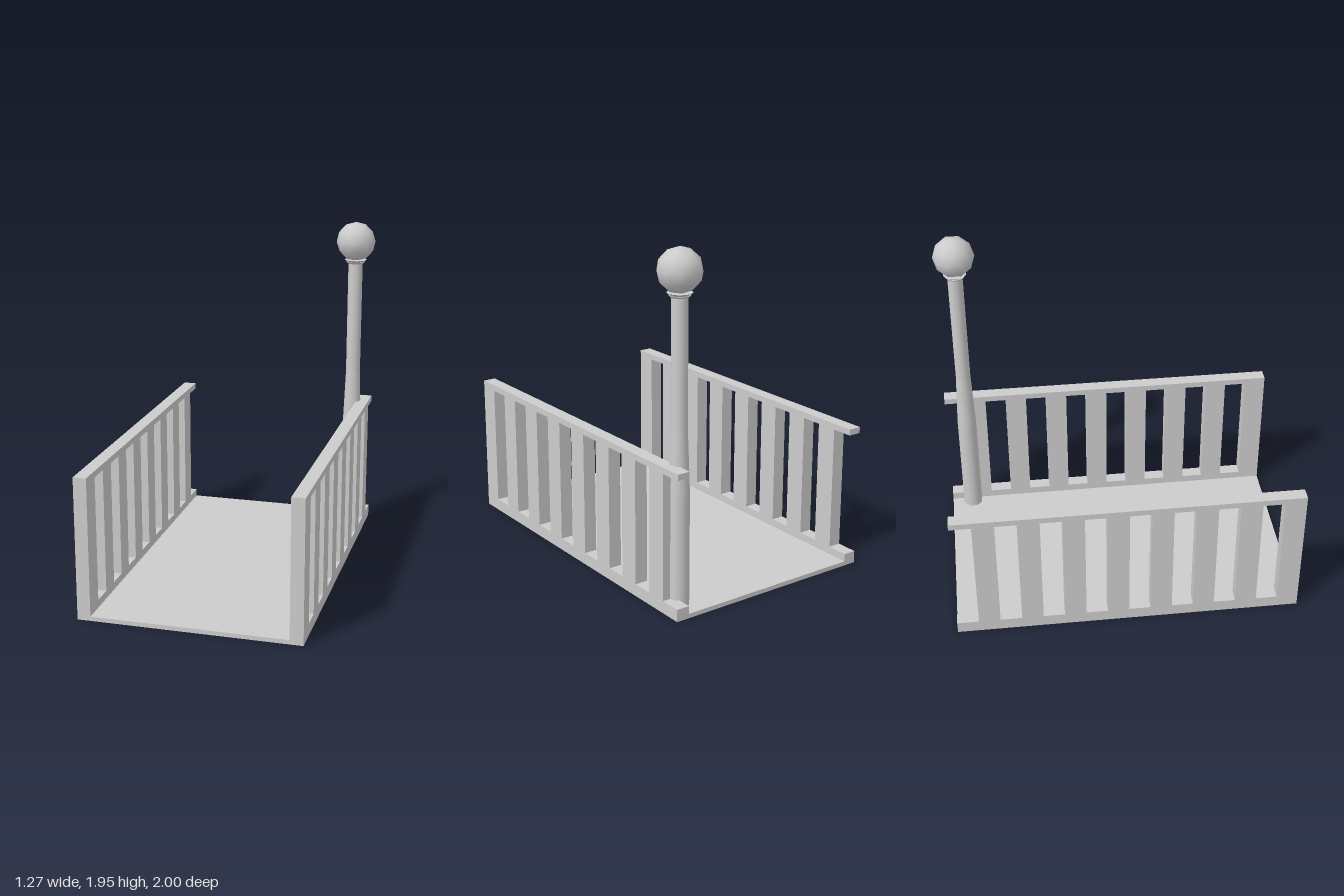
import * as THREE from 'three';

const grey = new THREE.MeshStandardMaterial({ color: 0xcccccc });
grey.name = 'plain grey';

function add(parent, name, geometry, x = 0, y = 0, z = 0) {
  const mesh = new THREE.Mesh(geometry, grey);
  mesh.name = name;
  mesh.position.set(x, y, z);
  parent.add(mesh);
  return mesh;
}

// Side railing as one slotted panel: seven closed slots, the last bay open at the back
function railingGeometry(width) {
  const panel = new THREE.Shape([
    [-1, 0], [1, 0], [1, 0.07], [0.875, 0.07], [0.875, 0.78], [1, 0.78], [1, 0.815], [-1, 0.815],
  ].map(([x, y]) => new THREE.Vector2(x, y)));
  for (let i = 0; i < 7; i++) {
    const a = -0.875 + i * 0.25, b = a + 0.125;
    panel.holes.push(new THREE.Path([
      [a, 0.07], [a, 0.78], [b, 0.78], [b, 0.07],
    ].map(([x, y]) => new THREE.Vector2(x, y))));
  }
  // Shape x runs towards -z
  return new THREE.ExtrudeGeometry(panel, { depth: width, bevelEnabled: false })
    .translate(0, 0, -width / 2).rotateY(Math.PI / 2);
}

// Straight or tapered round section between two heights
function section(r0, r1, y0, y1, open = false) {
  return new THREE.CylinderGeometry(r1, r0, y1 - y0, 24, 1, open).translate(0, (y0 + y1) / 2, 0);
}

export function createModel() {
  const model = new THREE.Group();
  model.name = 'footbridge';

  // Deck
  add(model, 'deck', new THREE.BoxGeometry(1.105, 0.025, 2), -0.0075, 0.0125, 0);

  // Railings
  const rail = railingGeometry(0.075);
  add(model, 'rightRailing', rail, -0.5975);
  add(model, 'leftRailing', rail, 0.5825);

  // Lamp post at the back left corner
  const lamp = new THREE.Group();
  lamp.name = 'lampPost';
  lamp.position.set(0.517, 0, -0.873);
  model.add(lamp);
  add(lamp, 'postBase', section(0.057, 0.057, 0.02, 0.66, true));
  add(lamp, 'postTaper', section(0.057, 0.044, 0.66, 1.0, true));
  add(lamp, 'postShaft', section(0.044, 0.044, 1.0, 1.7, true));
  add(lamp, 'lowerCollar', section(0.048, 0.057, 1.69, 1.7));
  add(lamp, 'upperCollar', section(0.05, 0.067, 1.7, 1.713));

  // Faceted globe with a corner at the top
  const globe = new THREE.IcosahedronGeometry(0.12, 1);
  globe.rotateZ(Math.atan(2 / (1 + Math.sqrt(5))));
  add(lamp, 'globe', globe, 0, 1.825, 0);

  return model;
}
